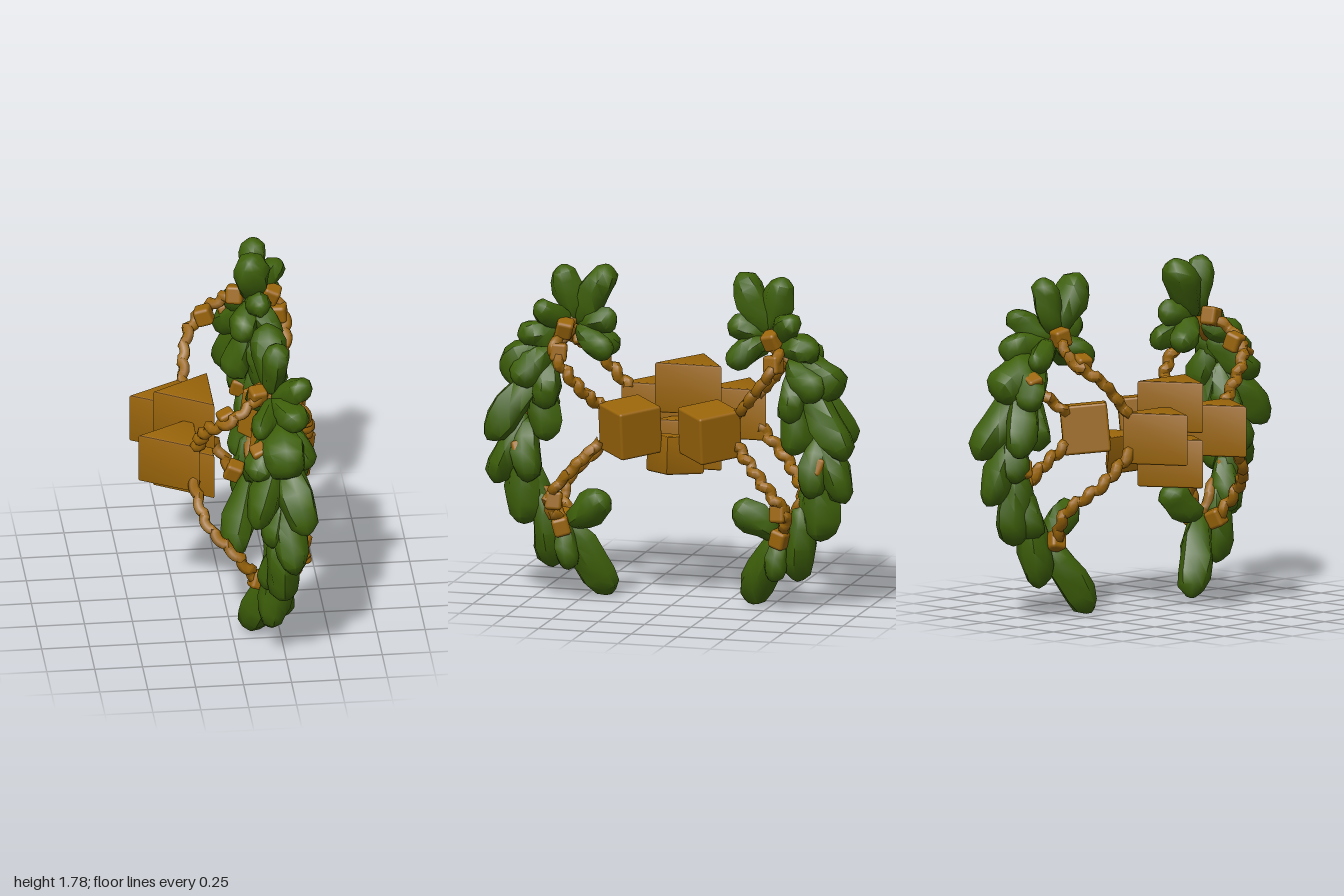
import * as THREE from 'three';
import { toCreasedNormals } from 'three/addons/utils/BufferGeometryUtils.js';
import { RoundedBoxGeometry } from 'three/addons/geometries/RoundedBoxGeometry.js';

const wood = new THREE.MeshStandardMaterial({ color: 0x9a650a });
wood.name = 'ochre wood';
const green = new THREE.MeshStandardMaterial({ color: 0x3e600a });
green.name = 'leaf green';
const V = (x, y, z) => new THREE.Vector3(x, y, z);

function add(group, name, geometry, material) {
  const mesh = new THREE.Mesh(geometry, material);
  mesh.name = name;
  group.add(mesh);
  return mesh;
}

// Upright three-sided block: tip at (tipX, z), flat side at baseX, slightly rounded edges
function wedge(tipX, baseX, z, half, y0, y1) {
  const b = 0.012;
  const shape = new THREE.Shape([
    new THREE.Vector2(tipX, -z), new THREE.Vector2(baseX, -z - half), new THREE.Vector2(baseX, -z + half),
  ]);
  const g = new THREE.ExtrudeGeometry(shape, {
    depth: y1 - y0 - 2 * b, bevelEnabled: true, bevelSize: b, bevelOffset: -b,
    bevelThickness: b, bevelSegments: 2,
  });
  g.rotateX(-Math.PI / 2);
  g.translate(0, y0 + b, 0);
  return toCreasedNormals(g, 0.7);
}

// Blunt, lumpy leaf lying between a base and a tip point
const leafProfile = new THREE.SplineCurve([
  new THREE.Vector2(0, 0), new THREE.Vector2(0.62, 0.12), new THREE.Vector2(1, 0.55),
  new THREE.Vector2(0.76, 0.89), new THREE.Vector2(0, 1),
]).getPoints(8).map((p) => new THREE.Vector2(Math.max(p.x, 0), THREE.MathUtils.clamp(p.y, 0, 1)));

function leafGeometry(base, tip, width, seed) {
  const dir = tip.clone().sub(base);
  const length = dir.length();
  dir.normalize();
  const g = new THREE.LatheGeometry(leafProfile, 8);
  const p = g.attributes.position;
  for (let i = 0; i < p.count; i++) {
    const x = p.getX(i), y = p.getY(i), z = p.getZ(i);
    const k = 1 + 0.1 * Math.sin(9 * y + 2.3 * x + seed) + 0.09 * Math.sin(4 * z + 3 * y + 2 * seed);
    p.setXYZ(i, x * width * 0.5 * k, y * length, z * width * 0.48 * k);
  }
  const across = V(1, 0, 0).cross(dir).normalize();
  const m = new THREE.Matrix4().makeBasis(across, dir, across.clone().cross(dir));
  m.setPosition(base);
  g.applyMatrix4(m);
  return toCreasedNormals(g, 0.95);
}

// Gnarled vine: a tube that corkscrews around a smooth path
function vineGeometry(path) {
  const twisted = path.getSpacedPoints(26).map((p, i) => {
    const a = i * 1.75;
    return p.add(V(0.012 * Math.cos(a), 0.012 * Math.sin(a), 0.008 * Math.cos(a + 1)));
  });
  const g = new THREE.TubeGeometry(new THREE.CatmullRomCurve3(twisted), 52, 0.03, 6);
  return toCreasedNormals(g, 1.1);
}

// Main stem hidden in the foliage
const stem = [[0.20, 1.45, 0.52], [0.22, 1.28, 0.68], [0.22, 1, 0.79], [0.22, 0.75, 0.78], [0.21, 0.39, 0.57]];

// Vines from the central blocks to both ends of the stem
const vines = [
  [[-0.18, 1.05, 0.35], [-0.14, 1.25, 0.52], [-0.03, 1.35, 0.62], [0.13, 1.47, 0.57]],
  [[-0.19, 0.88, 0.35], [-0.14, 0.71, 0.52], [0.01, 0.56, 0.64], [0.13, 0.38, 0.59]],
  [[0.27, 1.03, 0.36], [0.37, 1.18, 0.49], [0.36, 1.35, 0.60], [0.22, 1.48, 0.54]],
  [[0.27, 0.87, 0.36], [0.36, 0.70, 0.52], [0.35, 0.53, 0.64], [0.24, 0.38, 0.58]],
];

// Leaves sprouting from the stem: [place along stem 0..1, tip x, y, z, width]
const leaves = [
  // top rosette
  [0, 0.22, 1.77, 0.60, 0.16],
  [0, 0.19, 1.775, 0.35, 0.18],
  [0, 0.24, 1.51, 0.30, 0.14],
  [0, 0.12, 1.31, 0.32, 0.15],
  [0, 0.32, 1.31, 0.32, 0.14],
  [0.03, 0.37, 1.58, 0.70, 0.14],
  [0.03, 0.33, 1.40, 0.81, 0.16],
  [0.03, 0.10, 1.33, 0.78, 0.14],
  // upper cluster
  [0.13, 0.24, 1.17, 0.92, 0.24],
  [0.13, 0.37, 1.16, 0.82, 0.17],
  [0.13, 0.07, 1.12, 0.86, 0.17],
  [0.18, 0.34, 1.02, 0.66, 0.16],
  [0.24, 0.07, 0.87, 0.93, 0.19],
  [0.24, 0.34, 0.84, 0.97, 0.19],
  [0.26, 0.29, 0.84, 0.66, 0.17],
  [0.26, 0.12, 0.88, 0.72, 0.17],
  // outer middle
  [0.46, 0.28, 0.60, 0.95, 0.17],
  [0.46, 0.16, 0.72, 0.86, 0.16],
  [0.48, 0.31, 0.62, 0.76, 0.17],
  [0.60, 0.23, 0.38, 0.80, 0.20],
  [0.68, 0.17, 0.40, 0.71, 0.16],
  // lower sprays
  [0.80, 0.18, 0.15, 0.66, 0.18],
  [0.97, 0.08, 0.005, 0.37, 0.19],
  [0.97, 0.27, 0.16, 0.55, 0.13],
  [1, 0.25, 0.56, 0.34, 0.17],
];

// Woody knots along vines and foliage
const knots = [
  [-0.04, 1.34, 0.57], [0.12, 1.46, 0.56], [0.31, 1.45, 0.56], [0.35, 1.33, 0.58],
  [0.11, 1.24, 0.78], [0.31, 1.21, 0.77], [0.17, 0.79, 0.80], [0.29, 0.79, 0.80],
  [0.34, 0.54, 0.61], [0.12, 0.40, 0.60], [0.27, 0.39, 0.59],
];

export function createModel() {
  const model = new THREE.Group();
  model.name = 'leafyWreath';

  // Central wedges: upper and lower pair, and the small one opposite
  add(model, 'upperWedge', wedge(-0.365, -0.065, 0, 0.18, 0.95, 1.215), wood);
  add(model, 'lowerWedge', wedge(-0.365, -0.065, 0, 0.18, 0.66, 0.915), wood);
  const small = add(model, 'smallWedge', wedge(0.08, -0.08, 0, 0.155, -0.1, 0.1), wood);
  small.position.set(0.25, 0.8, 0);
  small.rotation.z = 0.1;

  for (const s of [1, -1]) {
    const wing = new THREE.Group();
    wing.name = s > 0 ? 'frontWing' : 'backWing';
    model.add(wing);
    const curve = (points) => new THREE.CatmullRomCurve3(points.map(([x, y, z]) => V(x, y, z * s)));

    // Side wedge and tilted corner-on cube
    add(wing, 'sideWedge', wedge(-0.465, -0.165, 0.22 * s, 0.17, 0.81, 1.08), wood);
    const cube = add(wing, 'cornerCube', new RoundedBoxGeometry(0.245, 0.255, 0.245, 2, 0.014), wood);
    cube.position.set(0.278, 0.937, 0.215 * s);
    cube.rotation.set(0, Math.PI / 4, -0.13, 'ZYX');

    // Vines, knots and leaves
    const stemCurve = curve(stem);
    add(wing, 'stem', vineGeometry(stemCurve), wood);
    for (const points of vines) add(wing, 'vine', vineGeometry(curve(points)), wood);
    knots.forEach(([x, y, z], i) => {
      const knot = add(wing, 'knot', new RoundedBoxGeometry(0.088, 0.097, 0.088, 2, 0.018), wood);
      knot.position.set(x, y, z * s);
      knot.rotation.set(0.3 * s * Math.sin(i * 2), 0.25 * s, 0.35 * Math.cos(i * 1.7));
    });
    leaves.forEach(([t, x, y, z, width], i) => {
      add(wing, 'leaf', leafGeometry(stemCurve.getPointAt(t), V(x, y, z * s), width, i * 1.3), green);
    });
  }
  return model;
}
